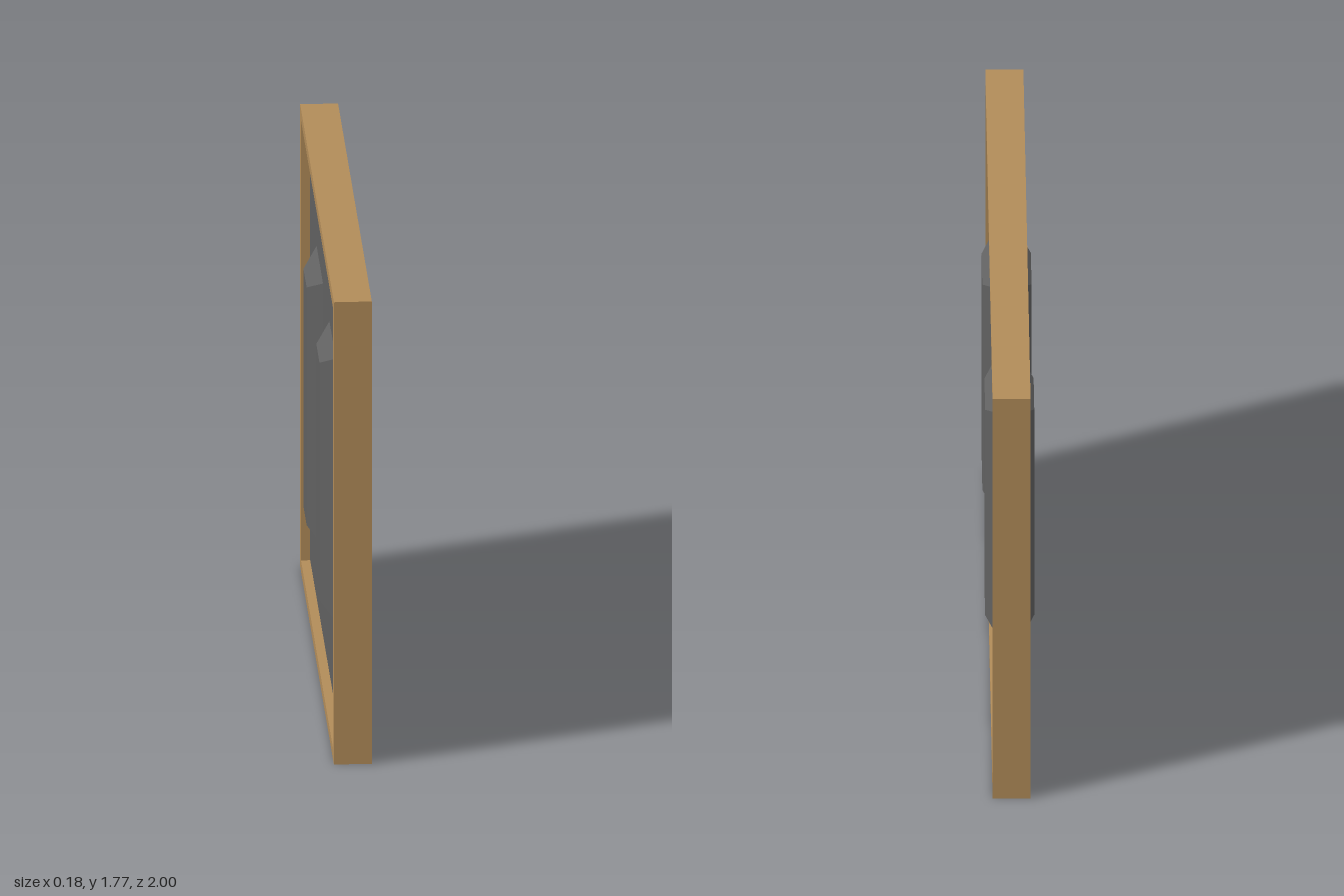
import * as THREE from 'three';

const HEIGHT = 1.77, THICK = 0.136, PANEL = 0.07;
const wood = new THREE.MeshStandardMaterial({ color: 0xb28c59 });
const dark = new THREE.MeshStandardMaterial({ color: 0x606060 });

function add(parent, name, geometry, material) {
  const mesh = new THREE.Mesh(geometry, material);
  mesh.name = name;
  parent.add(mesh);
  return mesh;
}

// Rectangle centred on the origin
function rect(target, w, h) {
  target.moveTo(-w / 2, -h / 2);
  target.lineTo(w / 2, -h / 2);
  target.lineTo(w / 2, h / 2);
  target.lineTo(-w / 2, h / 2);
  target.closePath();
  return target;
}

// Raised bar: a box whose outer (+x) face is pulled in to form bevels
function bevelledBar(depth, h, w, insetY, insetZ) {
  const g = new THREE.BoxGeometry(depth, h, w);
  const p = g.attributes.position;
  for (let i = 0; i < p.count; i++) {
    if (p.getX(i) < 0) continue;
    p.setY(i, p.getY(i) - Math.sign(p.getY(i)) * insetY);
    p.setZ(i, p.getZ(i) - Math.sign(p.getZ(i)) * insetZ);
  }
  g.computeVertexNormals();
  return g;
}

export function createModel() {
  const group = new THREE.Group();
  group.name = 'framedPanel';

  // Wooden frame with a rectangular opening
  const outline = rect(new THREE.Shape(), 2, HEIGHT);
  outline.holes.push(rect(new THREE.Path(), 1.9, 1.685));
  const frameGeo = new THREE.ExtrudeGeometry(outline, { depth: THICK, bevelEnabled: false });
  frameGeo.translate(0, 0, -THICK / 2).rotateY(Math.PI / 2);
  add(group, 'frame', frameGeo, wood).position.y = HEIGHT / 2;

  // Dark panel recessed on both faces
  add(group, 'panel', new THREE.BoxGeometry(PANEL, 1.685, 1.9), dark).position.y = HEIGHT / 2;

  // Two raised bars on each face
  const depth = 0.088 - PANEL / 2;
  const barGeo = bevelledBar(depth, 1.01, 0.38, 0.05, 0.095);
  for (const side of [1, -1]) {
    for (const z of [0.38, -0.38]) {
      const bar = add(group, (side > 0 ? 'left' : 'right') + (z > 0 ? 'FrontBar' : 'BackBar'), barGeo, dark);
      bar.position.set(side * (PANEL + depth) / 2, HEIGHT / 2, z);
      bar.position.x = side * (PANEL / 2 + depth / 2);
      if (side < 0) bar.rotation.y = Math.PI;
    }
  }
  return group;
}
